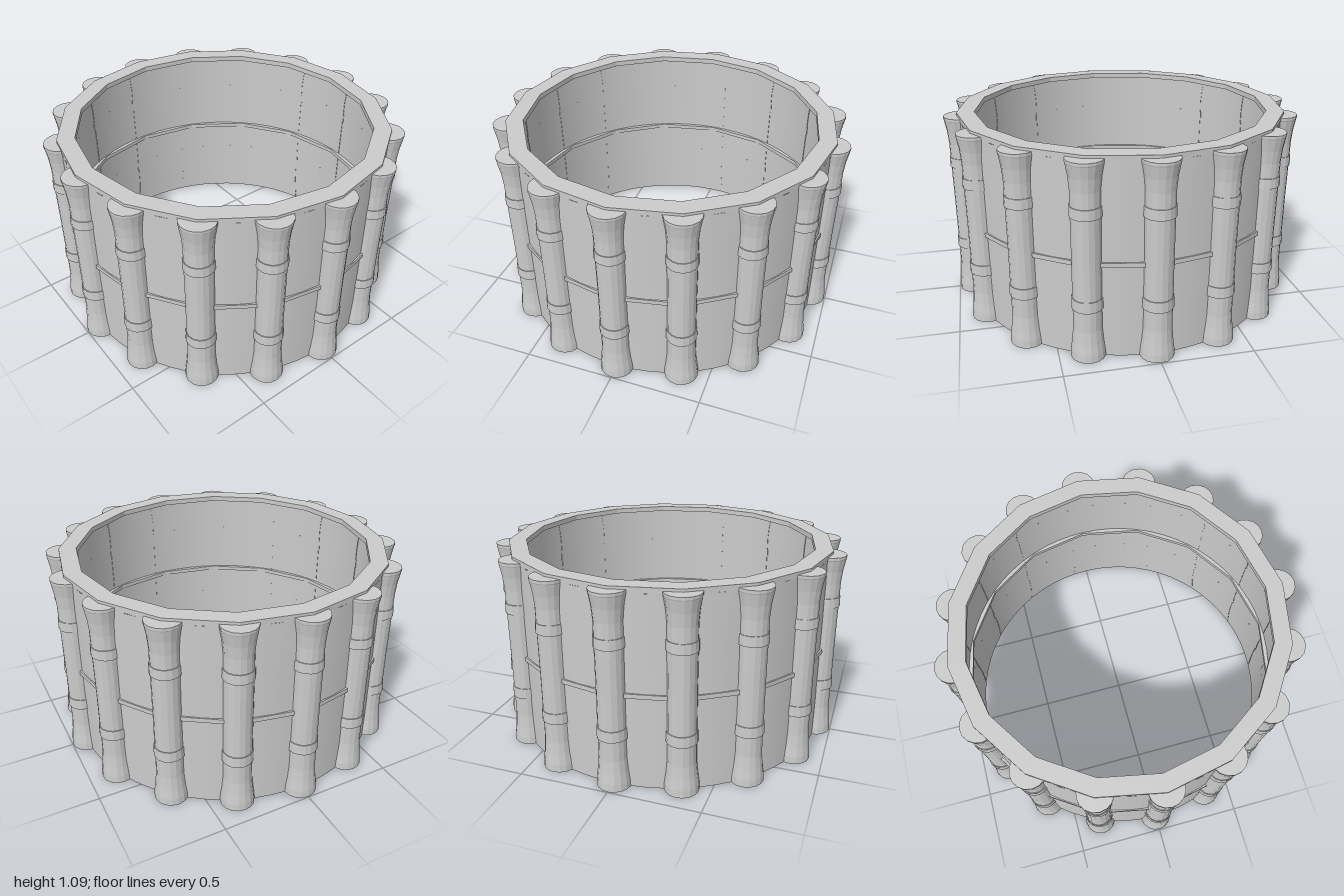
import * as THREE from 'three';

const SIDES = 16;
const flat = new THREE.MeshStandardMaterial({ color: 0xcccccc, flatShading: true });
const smooth = new THREE.MeshStandardMaterial({ color: 0xcccccc, side: THREE.DoubleSide });

// Flat 16-sided ring with its corners on the column axes
function polygonRing(name, outer, inner, y, height) {
  const corners = (r) => Array.from({ length: SIDES }, (_, i) => {
    const a = (i / SIDES) * Math.PI * 2;
    return new THREE.Vector2(Math.cos(a) * r, Math.sin(a) * r);
  });
  const shape = new THREE.Shape(corners(outer));
  shape.holes.push(new THREE.Path(corners(inner)));
  const geometry = new THREE.ExtrudeGeometry(shape, { depth: height, bevelEnabled: false });
  geometry.rotateX(-Math.PI / 2);
  const mesh = new THREE.Mesh(geometry, flat);
  mesh.name = name;
  mesh.position.y = y;
  return mesh;
}

// Half-round column: flared ends, two raised joints, flat back
function columnGeometry() {
  const profile = [
    [0, 0], [0.093, 0], [0.091, 0.04], [0.083, 0.1], [0.077, 0.17], [0.076, 0.285],
    [0.083, 0.285], [0.081, 0.345], [0.077, 0.345], [0.076, 0.54], [0.077, 0.785],
    [0.083, 0.785], [0.081, 0.84], [0.077, 0.84], [0.077, 0.92], [0.083, 0.99],
    [0.094, 1.055], [0.096, 1.06], [0.096, 1.075], [0, 1.075],
  ].map(([r, y]) => new THREE.Vector2(r, y));
  return new THREE.LatheGeometry(profile, 8, -Math.PI / 2, Math.PI);
}

export function createModel() {
  const model = new THREE.Group();
  model.name = 'columnedRing';

  // Thin round wall, open at both ends
  const wall = new THREE.Mesh(
    new THREE.CylinderGeometry(0.912, 0.912, 1.06, 64, 1, true), smooth);
  wall.name = 'wall';
  wall.position.y = 0.53;
  model.add(wall);

  // Wide top rim and narrow band around the middle
  model.add(polygonRing('topRim', 0.928, 0.83, 1.06, 0.03));
  model.add(polygonRing('middleBand', 0.935, 0.905, 0.515, 0.025));

  // Columns around the wall
  const columns = new THREE.Group();
  columns.name = 'columns';
  const geometry = columnGeometry();
  for (let i = 0; i < SIDES; i++) {
    const a = (i / SIDES) * Math.PI * 2;
    const column = new THREE.Mesh(geometry, flat);
    column.name = 'column';
    column.position.set(Math.sin(a) * 0.904, 0, Math.cos(a) * 0.904);
    column.rotation.y = a;
    columns.add(column);
  }
  model.add(columns);
  return model;
}
